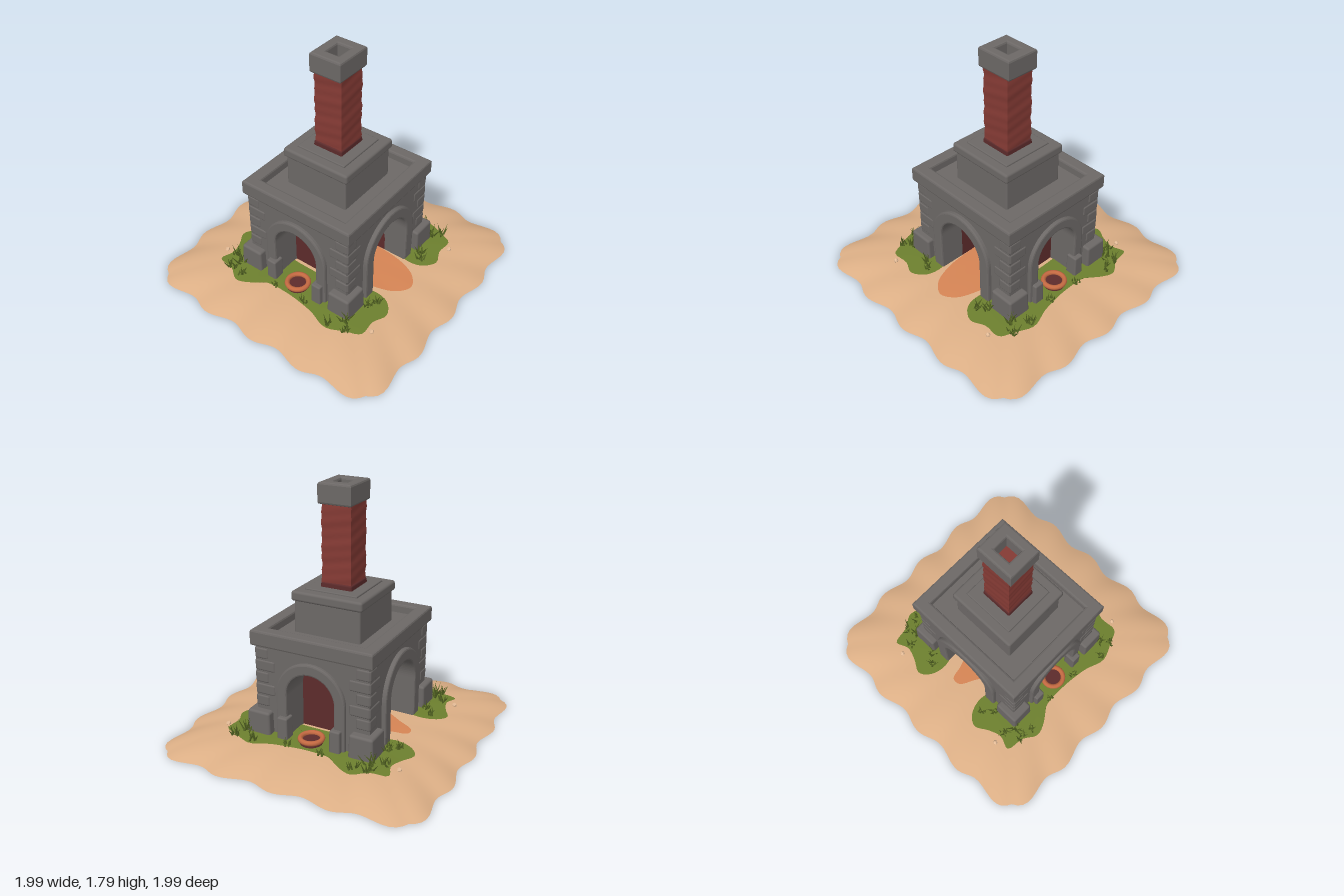
import * as THREE from 'three';
import { mergeGeometries } from 'three/addons/utils/BufferGeometryUtils.js';
import { RoundedBoxGeometry } from 'three/addons/geometries/RoundedBoxGeometry.js';

const mat = (name, color, side = THREE.FrontSide) => {
  const m = new THREE.MeshStandardMaterial({ color, side });
  m.name = name;
  return m;
};

export function createModel() {
  const model = new THREE.Group();
  model.name = 'stoneFurnace';
  const two = THREE.DoubleSide;
  const stone = mat('grey stone', 0x6c6866);
  const brick = mat('red brick', 0x843a34);
  const darkBrick = mat('dark brick', 0x5c2b2b);
  const sand = mat('sand', 0xdbae85, two);
  const grass = mat('grass', 0x6c7f2e, two);
  const blades = mat('grass blades', 0x586a25, two);
  const ember = mat('ember glow', 0xd58454, two);
  const ash = mat('pale ash', 0xe6bd98, two);
  const clay = mat('clay ring', 0xc56a42);

  let seed = 7;
  const rnd = () => (seed = (seed * 16807) % 2147483647) / 2147483647;

  const add = (name, geo, material, x = 0, y = 0, z = 0, ry = 0) => {
    const mesh = new THREE.Mesh(geo, material);
    mesh.name = name;
    mesh.position.set(x, y, z);
    mesh.rotation.y = ry;
    model.add(mesh);
    return mesh;
  };
  // Rounded block standing on y0, optionally narrowing to the top
  const block = (name, material, w, y0, y1, d, x = 0, z = 0, top = 1, r = 0.012) => {
    const h = y1 - y0;
    const geo = new RoundedBoxGeometry(w, h, d, 2, r);
    const p = geo.attributes.position;
    for (let i = 0; i < p.count; i++) {
      const k = 1 + (top - 1) * (p.getY(i) / h + 0.5);
      p.setX(i, p.getX(i) * k);
      p.setZ(i, p.getZ(i) * k);
    }
    return add(name, geo, material, x, (y0 + y1) / 2, z);
  };

  // Sandy mound with a scalloped, rounded-square edge
  const edge = (a) => {
    const c = Math.cos(a), s = Math.sin(a);
    const r = 0.972 / Math.pow(c ** 8 + s ** 8, 1 / 8);
    const t = r * (Math.abs(c) > Math.abs(s) ? s : c);
    return r * (1 + 0.025 * Math.cos((2 * Math.PI * t) / 0.4));
  };
  const groundY = (x, z) => 0.092 * (1 - Math.min(1, Math.hypot(x, z) / edge(Math.atan2(z, x))) ** 5);
  // Surface laid over the mound, filled in rings from a centre to an outline
  const drape = (name, outline, cx, cz, lift, material, rings = 12) => {
    const n = outline.length, pos = [], idx = [];
    for (let j = 0; j <= rings; j++) {
      outline.forEach(([px, pz]) => {
        const x = cx + ((px - cx) * j) / rings, z = cz + ((pz - cz) * j) / rings;
        pos.push(x, groundY(x, z) + lift, z);
      });
    }
    for (let j = 0; j < rings; j++) {
      for (let i = 0; i < n; i++) {
        const a = j * n + i, b = j * n + ((i + 1) % n);
        if (j) idx.push(a, b, a + n);
        idx.push(b, b + n, a + n);
      }
    }
    const geo = new THREE.BufferGeometry();
    geo.setAttribute('position', new THREE.Float32BufferAttribute(pos, 3));
    geo.setIndex(idx);
    geo.computeVertexNormals();
    return add(name, geo, material);
  };
  const smooth = (pts, n = 90) => new THREE.CatmullRomCurve3(
    pts.map(([x, z]) => new THREE.Vector3(x, 0, z)), true).getPoints(n).slice(0, n).map((v) => [v.x, v.z]);

  const rim = Array.from({ length: 200 }, (_, i) => {
    const a = (i / 200) * Math.PI * 2;
    return [edge(a) * Math.cos(a), edge(a) * Math.sin(a)];
  });
  drape('sandMound', rim, 0, 0, 0, sand, 24);
  const under = new THREE.ShapeGeometry(new THREE.Shape(rim.map(([x, z]) => new THREE.Vector2(x, z))));
  add('moundUnderside', under.rotateX(Math.PI / 2), sand);

  // Grass patches on both sides, and the glow on the hearth floor
  const patch = [[-0.6, -0.63], [-0.5, -0.6], [-0.4, -0.63], [-0.3, -0.68], [-0.22, -0.62], [-0.19, -0.48],
    [-0.28, -0.3], [-0.3, 0], [-0.28, 0.3], [-0.2, 0.46], [-0.22, 0.59], [-0.32, 0.66], [-0.43, 0.62],
    [-0.56, 0.62], [-0.61, 0.52], [-0.66, 0.38], [-0.61, 0.22], [-0.58, 0], [-0.59, -0.2], [-0.66, -0.3],
    [-0.69, -0.4], [-0.63, -0.5]];
  for (const s of [1, -1]) drape('grassPatch', smooth(patch.map(([x, z]) => [x * s, z])), -0.45 * s, 0, 0.006, grass);
  drape('emberFloor', smooth([[0, 0.65], [0.1, 0.59], [0.16, 0.46], [0.19, 0.25], [0.18, -0.2], [0.1, -0.42],
    [0.07, -0.53], [0.01, -0.53], [-0.06, -0.42], [-0.18, -0.2], [-0.19, 0.25], [-0.16, 0.46], [-0.1, 0.59]]),
  0, 0, 0.008, ember);
  add('ashHeap', new THREE.CylinderGeometry(0.13, 0.18, 0.012, 20), ash, 0, 0.107, 0);

  // Arched openings
  const arch = (shape, w, top, y0) => {
    shape.moveTo(-w, y0);
    shape.lineTo(w, y0);
    shape.lineTo(w, top - w);
    shape.absarc(0, top - w, w, 0, Math.PI, false);
    shape.lineTo(-w, y0);
    return shape;
  };
  const archWall = (halfW, y1, w, depth) => {
    const s = new THREE.Shape();
    s.moveTo(-halfW, 0.06).lineTo(halfW, 0.06).lineTo(halfW, y1).lineTo(-halfW, y1);
    s.holes.push(arch(new THREE.Path(), w, 0.59, 0.065));
    return new THREE.ExtrudeGeometry(s, { depth, bevelEnabled: false, curveSegments: 20 });
  };
  const archFrame = (wi, wo, depth) => {
    const b = 0.012, i = wi + b, o = wo - b, cy = 0.59 - wi;
    const s = new THREE.Shape();
    s.moveTo(o, 0.07).lineTo(o, cy);
    s.absarc(0, cy, o, 0, Math.PI, false);
    s.lineTo(-o, 0.07).lineTo(-i, 0.07).lineTo(-i, cy);
    s.absarc(0, cy, i, Math.PI, 0, true);
    s.lineTo(i, 0.07);
    return new THREE.ExtrudeGeometry(s,
      { depth: depth - b, bevelThickness: b, bevelSize: b, bevelSegments: 2, curveSegments: 20 });
  };
  // Walls, lining and arch frames
  add('brickLining', archWall(0.27, 0.72, 0.2, 0.56), darkBrick, 0, 0, -0.28);
  for (const s of [1, -1]) {
    const turn = s > 0 ? 0 : Math.PI;
    const sideTurn = (s * Math.PI) / 2;
    add('endWall', archWall(0.465, 0.73, 0.2, 0.16), stone, 0, 0, s * 0.27, turn);
    add('endArch', archFrame(0.2, 0.288, 0.06), stone, 0, 0, s * 0.402, turn);
    add('sideWall', archWall(0.425, 0.73, 0.18, 0.198), stone, s * 0.27, 0, 0, sideTurn);
    add('sideArch', archFrame(0.18, 0.26, 0.06), stone, s * 0.436, 0, 0, sideTurn);
    // Clay ring in each side niche
    add('clayRing', new THREE.TorusGeometry(0.076, 0.018, 8, 24).rotateX(Math.PI / 2), clay, s * 0.475, 0.126, 0);
    add('ringBase', new THREE.CylinderGeometry(0.075, 0.08, 0.03, 20), darkBrick, s * 0.475, 0.105, 0);
    for (const t of [1, -1]) {
      block('cornerButtress', stone, 0.2, 0.06, 0.255, 0.185, s * 0.43, t * 0.39, 0.93, 0.018);
      block('archFoot', stone, 0.09, 0.06, 0.25, 0.08, s * 0.485, t * 0.2, 0.96);
    }
    // Slightly proud wall stones
    for (const t of [1, -1]) {
      for (let k = 0; k < 5; k++) {
        const y = 0.28 + k * 0.088, w = 0.1 + 0.05 * (k % 2);
        block('wallStone', stone, w, y, y + 0.078, 0.03, s * (0.47 - w / 2), t * 0.42);
        block('wallStone', stone, 0.03, y, y + 0.078, w, s * 0.459, t * (0.43 - w / 2));
      }
    }
  }

  // Raised rectangular rim, used for the parapet and chimney cap
  const ring = (name, w, d, hw, hd, y0, y1) => {
    const b = 0.014, s = new THREE.Shape(), h = new THREE.Path();
    const rect = (p, x, z) => p.moveTo(-x, -z).lineTo(x, -z).lineTo(x, z).lineTo(-x, z).lineTo(-x, -z);
    rect(s, w - b, d - b);
    rect(h, hw + b, hd + b);
    s.holes.push(h);
    const geo = new THREE.ExtrudeGeometry(s,
      { depth: y1 - y0 - 2 * b, bevelThickness: b, bevelSize: b, bevelSegments: 2 });
    add(name, geo.rotateX(-Math.PI / 2), stone, 0, y0 + b, 0);
  };
  ring('parapet', 0.49, 0.455, 0.4, 0.36, 0.722, 0.836);
  block('roofSlab', stone, 0.86, 0.715, 0.775, 0.8);
  block('upperTier', stone, 0.505, 0.74, 1.02, 0.5, 0, 0, 0.99);
  block('tierCap', stone, 0.535, 1.0, 1.07, 0.535, 0, 0, 0.99, 0.018);
  block('tierStep', stone, 0.4, 1.06, 1.08, 0.4, 0, 0, 0.97, 0.006);

  // Uneven brick chimney
  const stack = new THREE.BoxGeometry(0.222, 0.6, 0.218, 4, 26, 4);
  const p = stack.attributes.position;
  for (let i = 0; i < p.count; i++) {
    const y = p.getY(i), a = Math.atan2(p.getZ(i), p.getX(i));
    const k = 1 + 0.018 * Math.sin(y * 78 + 2 * a) + 0.015 * Math.cos(y * 31 + a);
    p.setX(i, p.getX(i) * k);
    p.setZ(i, p.getZ(i) * k);
  }
  stack.computeVertexNormals();
  add('chimneyStack', stack, brick, 0, 1.36, 0);
  block('chimneyFoot', darkBrick, 0.246, 1.07, 1.115, 0.24, 0, 0, 0.95);
  ring('chimneyCap', 0.14, 0.122, 0.062, 0.052, 1.65, 1.795);

  // Grass tufts
  const tufts = [[0.27, -0.56, 0.07], [0.33, -0.5, 0.07], [0.5, -0.56, 0.09], [0.61, -0.5, 0.08],
    [0.63, -0.39, 0.07], [0.27, 0.55, 0.07], [0.33, 0.51, 0.08], [0.53, 0.47, 0.11], [0.6, 0.52, 0.08],
    [0.62, 0.38, 0.08], [0.54, -0.47, 0.12], [0.57, 0.13, 0.05], [0.57, -0.13, 0.05]];
  const parts = [];
  for (const [x, z, h] of tufts) {
    for (const s of [1, -1]) {
      for (let i = 0; i < 9; i++) {
        const len = h * (0.6 + 0.5 * rnd());
        const g = new THREE.ConeGeometry(0.009, len, 3, 1, true).translate(0, len / 2, 0);
        g.rotateX(0.15 + 0.55 * rnd()).rotateY((i / 9) * Math.PI * 2 + rnd());
        g.translate(s * x + 0.05 * (rnd() - 0.5), groundY(x, z), z + 0.05 * (rnd() - 0.5));
        parts.push(g);
      }
    }
  }
  add('grassTufts', mergeGeometries(parts), blades);

  // Small pebbles beyond the grass
  for (const s of [1, -1]) {
    for (const z of [-0.66, 0.66]) {
      add('pebble', new THREE.IcosahedronGeometry(0.018, 0), ash, s * 0.5, groundY(0.5, z) + 0.005, z);
    }
  }
  return model;
}
